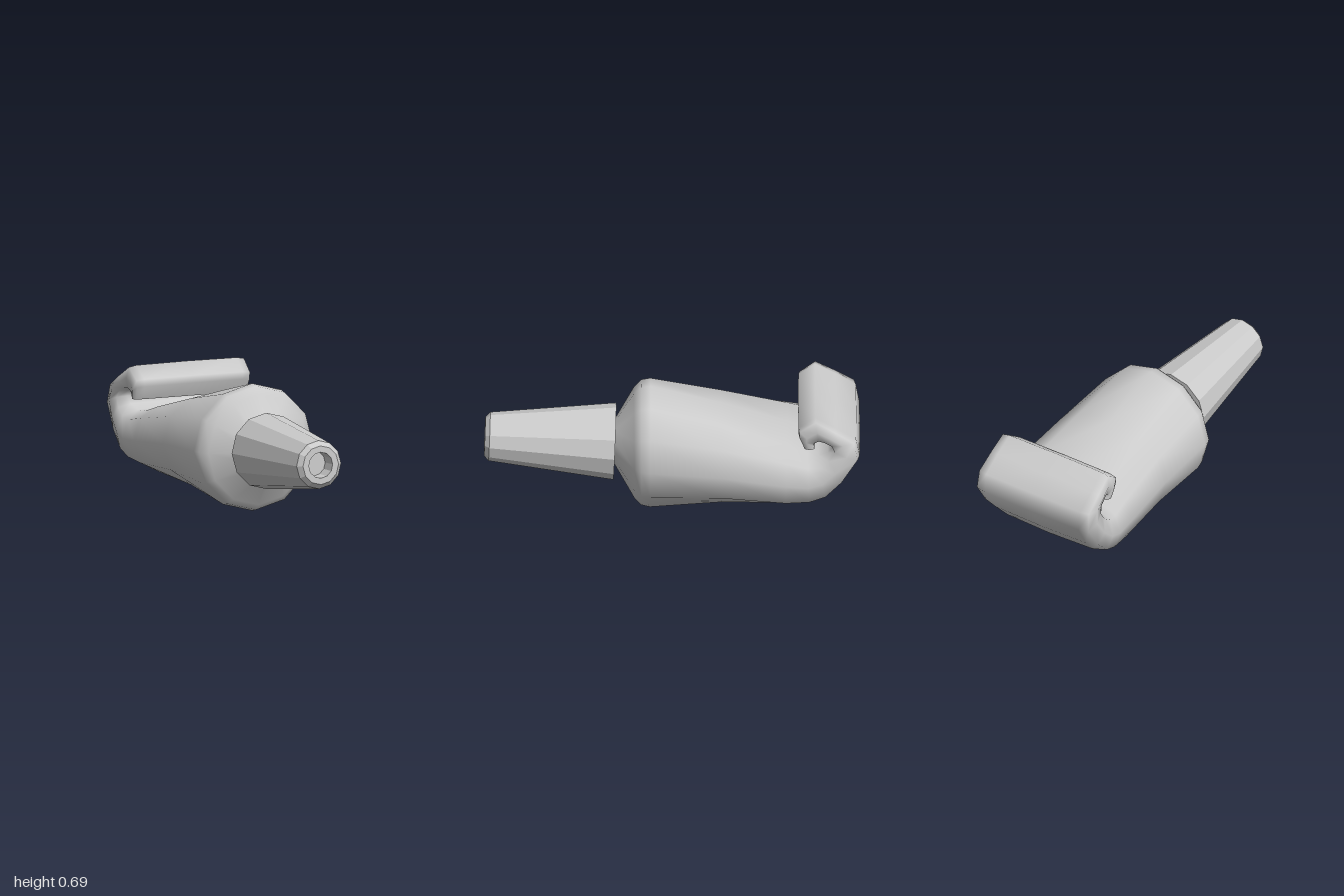
import * as THREE from 'three';

const SIDES = 12;

// Body sections from neck to rolled end:
// [underside z, y, topside z, y, centre x, half width, squareness (1 = round)]
const SECTIONS = [
  [0.36, 0.24, 0.36, 0.46, -0.02, 0.11, 1],
  [0.31, 0.235, 0.31, 0.465, -0.02, 0.115, 1],
  [0.2, 0.045, 0.205, 0.64, -0.02, 0.295, 1],
  [0.165, 0.013, 0.165, 0.68, -0.02, 0.335, 1],
  [0.12, 0.002, 0.115, 0.688, -0.02, 0.343, 1],
  [-0.26, 0.065, -0.26, 0.595, -0.008, 0.358, 0.88],
  [-0.6, 0.1, -0.61, 0.487, 0, 0.38, 0.7],
  [-0.73, 0.135, -0.72, 0.442, 0, 0.387, 0.6],
  [-0.82, 0.185, -0.775, 0.437, 0, 0.388, 0.5],
  [-0.91, 0.29, -0.825, 0.46, 0, 0.383, 0.4],
  [-1.0, 0.44, -0.85, 0.495, 0, 0.375, 0.32],
  [-0.98, 0.545, -0.835, 0.525, 0.003, 0.366, 0.28],
  [-0.87, 0.612, -0.805, 0.54, 0.004, 0.358, 0.25],
  [-0.76, 0.675, -0.78, 0.54, 0.005, 0.35, 0.25],
  [-0.67, 0.61, -0.76, 0.53, 0.005, 0.345, 0.25],
  [-0.67, 0.57, -0.755, 0.515, 0.005, 0.342, 0.25],
  [-0.7, 0.497, -0.76, 0.497, 0.005, 0.335, 0.25],
];

const softPower = (v, e) => (Math.abs(v) < 1e-9 ? 0 : Math.sign(v) * Math.abs(v) ** e);

function bodyGeometry() {
  const pos = [];
  const index = [];
  const ring = ([oz, oy, iz, iy, cx, hw, e]) => {
    for (let i = 0; i < SIDES; i++) {
      const a = (i / SIDES) * Math.PI * 2;
      const t = softPower(Math.sin(a), e);
      pos.push(
        cx + hw * softPower(Math.cos(a), e),
        (oy + iy) / 2 + (t * (iy - oy)) / 2,
        (oz + iz) / 2 + (t * (iz - oz)) / 2,
      );
    }
  };
  SECTIONS.forEach(ring);
  for (let k = 0; k < SECTIONS.length - 1; k++) {
    for (let i = 0; i < SIDES; i++) {
      const j = (i + 1) % SIDES;
      const a = k * SIDES + i, b = k * SIDES + j;
      index.push(a, a + SIDES, b, b, a + SIDES, b + SIDES);
    }
  }
  // Flat end face with its own vertices, so the edge stays sharp
  const start = pos.length / 3;
  ring(SECTIONS[SECTIONS.length - 1]);
  for (let i = 1; i < SIDES - 1; i++) index.push(start, start + i + 1, start + i);

  const geo = new THREE.BufferGeometry();
  geo.setAttribute('position', new THREE.Float32BufferAttribute(pos, 3));
  geo.setIndex(index);
  geo.computeVertexNormals();
  return geo;
}

export function createModel() {
  const group = new THREE.Group();
  group.name = 'squeezeTube';

  // Smooth body, flattening to a curled end
  const body = new THREE.Mesh(
    bodyGeometry(),
    new THREE.MeshStandardMaterial({ color: 0xcccccc, side: THREE.DoubleSide }),
  );
  body.name = 'tubeBody';
  group.add(body);

  // Faceted cap with a chamfered tip and a recess
  const profile = [
    [0, 0], [0.205, 0], [0.13, 0.668], [0.104, 0.693], [0.07, 0.693], [0.068, 0.6], [0, 0.6],
  ].map(([r, y]) => new THREE.Vector2(r, y));
  const capGeo = new THREE.LatheGeometry(profile, SIDES).rotateX(Math.PI / 2);
  const cap = new THREE.Mesh(
    capGeo,
    new THREE.MeshStandardMaterial({ color: 0xcccccc, flatShading: true }),
  );
  cap.name = 'cap';
  cap.position.set(-0.022, 0.352, 0.306);
  cap.rotation.set(-0.041, -0.008, 0);
  group.add(cap);

  return group;
}
